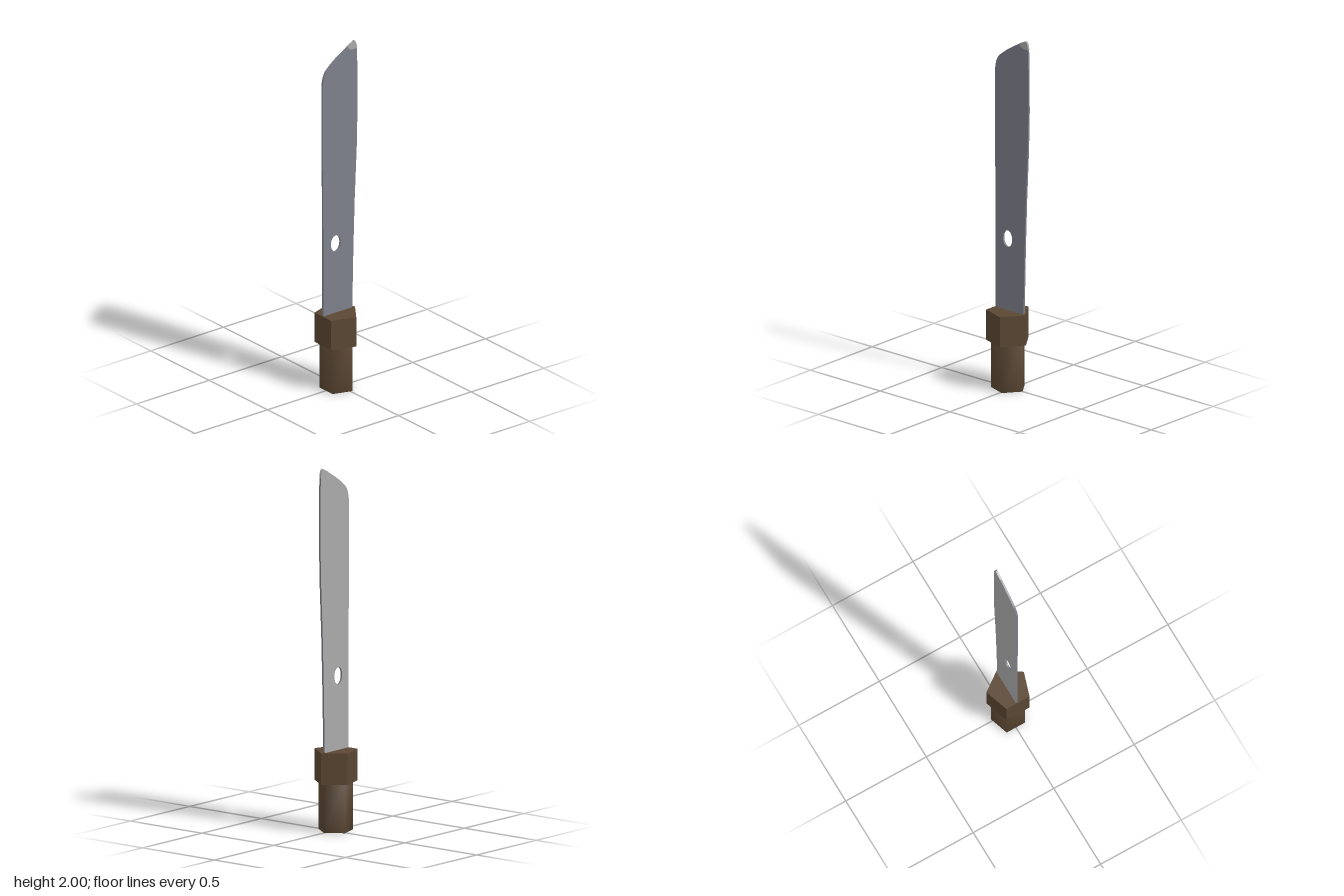
import * as THREE from 'three';
import { mergeVertices } from 'three/addons/utils/BufferGeometryUtils.js';

const steel = new THREE.MeshStandardMaterial({ color: 0x7d808a });
steel.name = 'blue grey steel';
const paleSteel = new THREE.MeshStandardMaterial({ color: 0xa9a9a9 });
paleSteel.name = 'pale steel';
const wood = new THREE.MeshStandardMaterial({ color: 0x5b4733 });
wood.name = 'brown wood';

// Plate lying in the z-y plane between two x positions: face and rim materials
function plate(name, shape, xMin, xMax, face, rim) {
  const geometry = new THREE.ExtrudeGeometry(shape, {
    depth: xMax - xMin,
    bevelEnabled: false,
    curveSegments: 16,
  });
  geometry.rotateY(-Math.PI / 2);
  geometry.translate(xMax, 0, 0);
  const mesh = new THREE.Mesh(geometry, [face, rim]);
  mesh.name = name;
  return mesh;
}

// Five-sided upright prism with its corner at the back
function pentagon(name, radius, bottom, top, z, smooth) {
  let geometry = new THREE.CylinderGeometry(radius, radius, top - bottom, 5, 1, false, Math.PI);
  if (smooth) {
    // Share corners between the sides and the ends for soft shading
    geometry.deleteAttribute('normal');
    geometry.deleteAttribute('uv');
    geometry = mergeVertices(geometry);
  } else {
    geometry = geometry.toNonIndexed();
  }
  geometry.computeVertexNormals();
  const mesh = new THREE.Mesh(geometry, wood);
  mesh.position.set(0, (top + bottom) / 2, z);
  mesh.name = name;
  return mesh;
}

export function createModel() {
  const model = new THREE.Group();
  model.name = 'machete';

  // Handle and collar
  model.add(pentagon('grip', 0.097, 0, 0.28, 0.0185, true));
  model.add(pentagon('collar', 0.1222, 0.268, 0.44, 0.02, false));

  // Blade outline, given as (z, y)
  const outline = new THREE.Shape();
  outline.moveTo(-0.083, 0.4);
  outline.lineTo(0.115, 0.4);
  outline.lineTo(0.116, 1.1);
  outline.lineTo(0.121, 1.4);
  outline.lineTo(0.121, 1.76);
  outline.bezierCurveTo(0.12, 1.85, 0.1, 1.87, 0.075, 1.89);
  outline.quadraticCurveTo(0.02, 1.938, -0.1, 2.0);
  outline.quadraticCurveTo(-0.116, 1.985, -0.118, 1.9);
  outline.lineTo(-0.12, 1.6);
  outline.lineTo(-0.115, 1.38);
  outline.lineTo(-0.101, 1.08);
  outline.lineTo(-0.092, 0.8);
  const hole = new THREE.Path();
  hole.absellipse(0.03, 0.846, 0.033, 0.047, 0, Math.PI * 2, true);
  outline.holes.push(hole);

  // Steel body with a paler left face
  model.add(plate('blade', outline, -0.01, -0.0005, steel, steel));
  model.add(plate('bladeLeftFace', outline, -0.011, -0.01, paleSteel, steel));

  // Bright ground tip, wrapping just over the blade's edges
  const tip = new THREE.Shape([
    [-0.053, 1.977], [-0.062, 1.96], [-0.085, 1.953], [-0.1165, 1.952],
    [-0.115, 1.97], [-0.109, 1.99], [-0.1005, 2.0],
  ].map(([z, y]) => new THREE.Vector2(z, y)));
  model.add(plate('tipFacet', tip, -0.0115, 0, paleSteel, paleSteel));

  return model;
}
